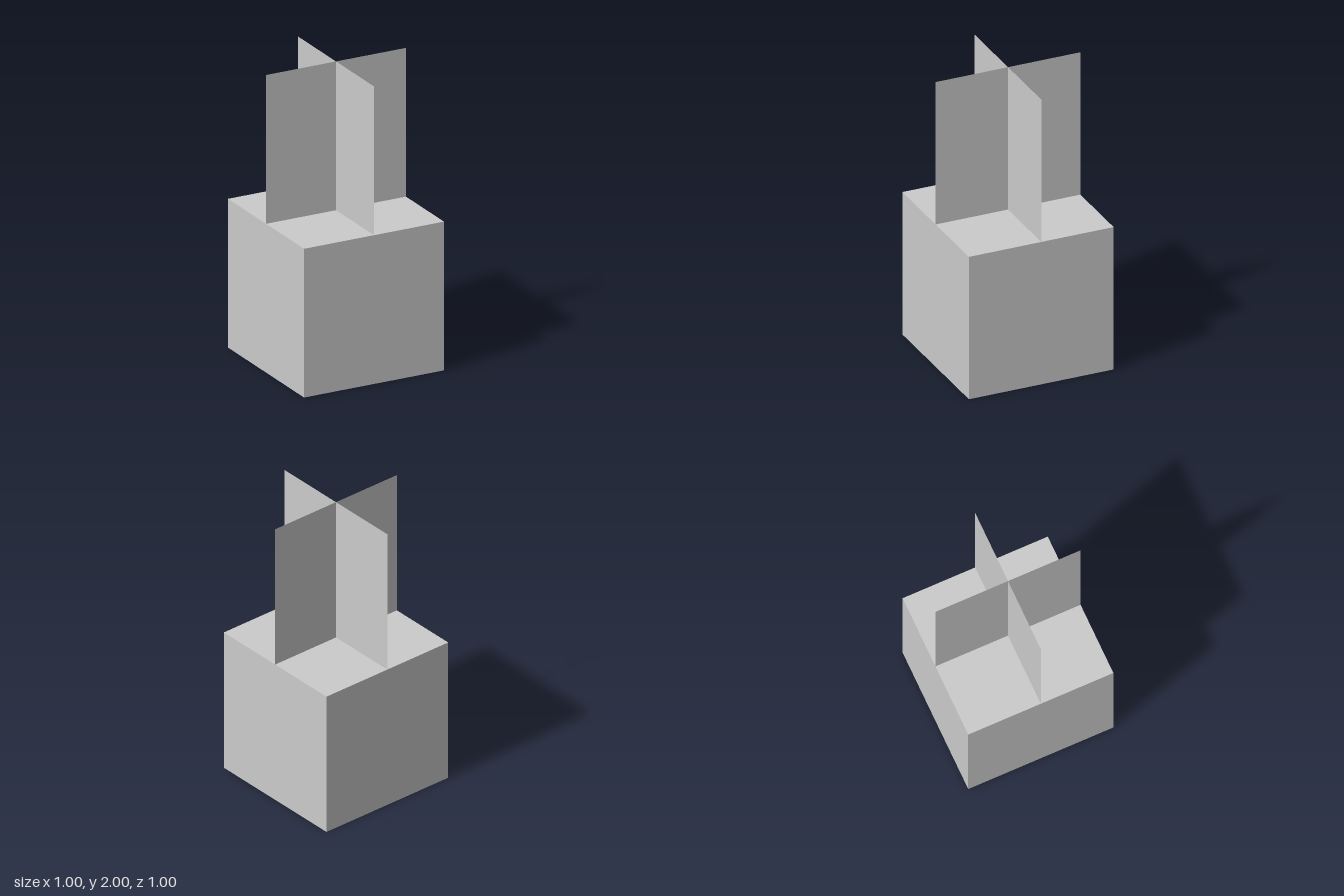
import * as THREE from 'three';

export function createModel() {
  const group = new THREE.Group();

  // Solid cube base
  const base = new THREE.Mesh(
    new THREE.BoxGeometry(1, 1, 1),
    new THREE.MeshStandardMaterial({ color: 0xcccccc, flatShading: true })
  );
  base.name = 'baseBlock';
  base.position.y = 0.5;
  group.add(base);

  // Two thin upright panels crossing at the centre
  const panelMaterial = new THREE.MeshStandardMaterial({
    color: 0xcccccc, flatShading: true, side: THREE.DoubleSide
  });
  const panels = [['crossPanelWide', 0], ['crossPanelDeep', Math.PI / 2]];
  for (const [name, turn] of panels) {
    const panel = new THREE.Mesh(new THREE.PlaneGeometry(1, 1), panelMaterial);
    panel.name = name;
    panel.position.y = 1.5;
    panel.rotation.y = turn;
    group.add(panel);
  }

  return group;
}
